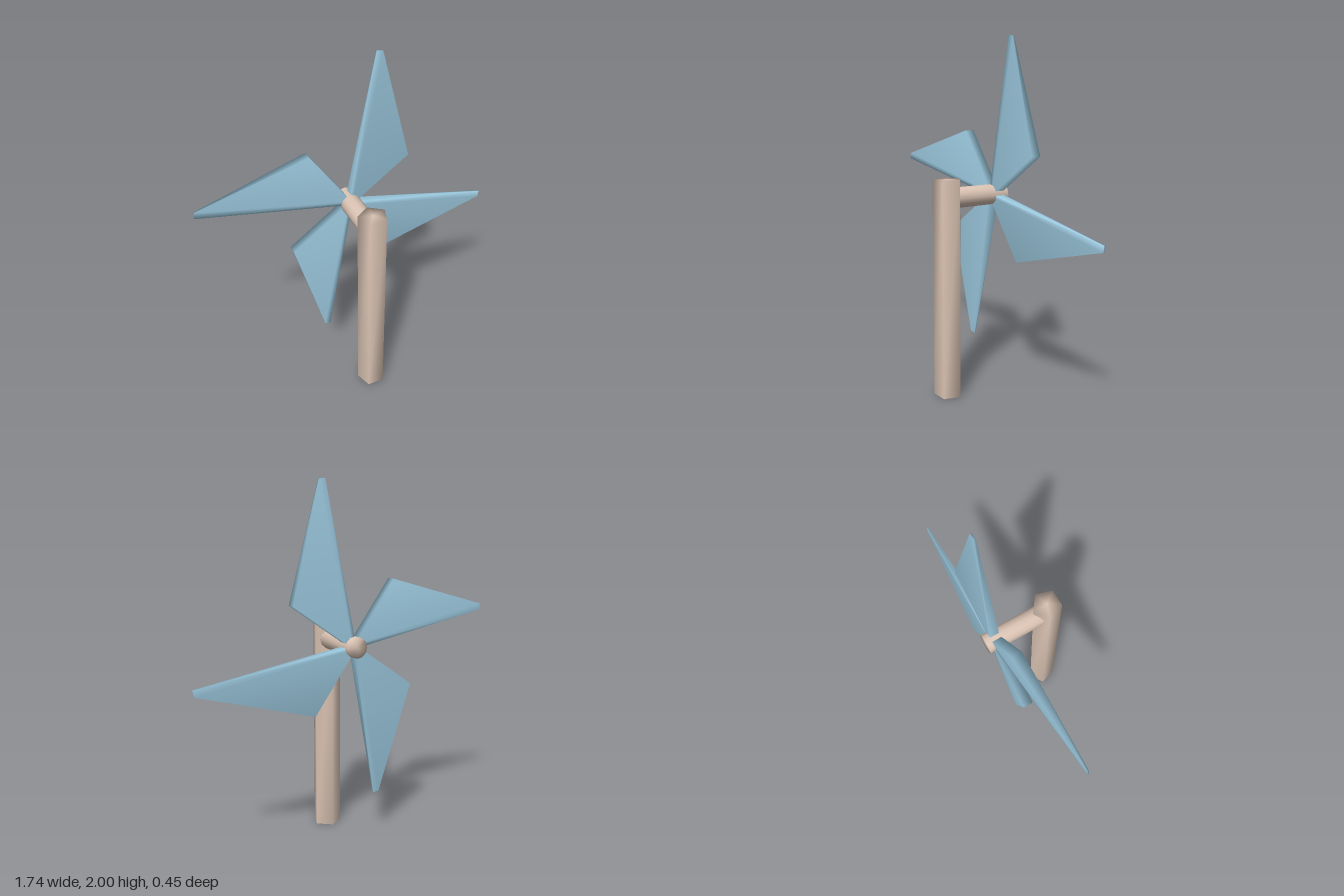
import * as THREE from 'three';
import { mergeVertices } from 'three/addons/utils/BufferGeometryUtils.js';

const HUB_Y = 1.13;

// Weld all corners so the shading runs smoothly over every edge
function softened(geometry) {
  geometry.deleteAttribute('normal');
  geometry.deleteAttribute('uv');
  const welded = mergeVertices(geometry, 1e-4);
  welded.computeVertexNormals();
  return welded;
}

// Tapered wedge: flat front face, back swelling from the tip towards the hub
function bladeGeometry() {
  const outline = [ // x, y, back z; counterclockwise from the hub
    [0.012, -0.006, -0.195],
    [0.355, 0.235, -0.195],
    [0.185, 0.865, -0.148],
    [0.15, 0.87, -0.148],
    [-0.006, 0.012, -0.195],
  ];
  const n = outline.length;
  const positions = [];
  outline.forEach(([x, y]) => positions.push(x, y, -0.138));
  outline.forEach(([x, y, z]) => positions.push(x, y, z));
  const index = [];
  for (let i = 1; i < n - 1; i++) {
    index.push(0, i, i + 1, n, n + i + 1, n + i);
  }
  for (let i = 0; i < n; i++) {
    const j = (i + 1) % n;
    index.push(i, n + i, n + j, i, n + j, j);
  }
  const geometry = new THREE.BufferGeometry();
  geometry.setAttribute('position', new THREE.Float32BufferAttribute(positions, 3));
  geometry.setIndex(index);
  geometry.computeVertexNormals();
  return geometry;
}

export function createModel() {
  const model = new THREE.Group();
  model.name = 'windmill';
  const wood = new THREE.MeshStandardMaterial({ name: 'paleWood', color: 0xdcc5b5 });
  const blue = new THREE.MeshStandardMaterial({ name: 'bladeBlue', color: 0x9cc9df });

  // Five-sided post with one edge facing the blades
  const post = new THREE.Mesh(
    softened(new THREE.CylinderGeometry(0.083, 0.083, 1.235, 5, 1, false, Math.PI)), wood);
  post.name = 'post';
  post.position.set(0, 0.6175, 0.155);
  model.add(post);

  // Axle running back from the post through the hub
  const axleGeometry = new THREE.CylinderGeometry(0.058, 0.058, 0.375, 12);
  axleGeometry.rotateX(Math.PI / 2);
  const axle = new THREE.Mesh(softened(axleGeometry), wood);
  axle.name = 'axle';
  axle.position.set(0, HUB_Y, -0.0375);
  model.add(axle);

  // Four blades around the axle
  const rotor = new THREE.Group();
  rotor.name = 'rotor';
  rotor.position.y = HUB_Y;
  const geometry = bladeGeometry();
  for (let i = 0; i < 4; i++) {
    const blade = new THREE.Mesh(geometry, blue);
    blade.name = `blade${i + 1}`;
    blade.rotation.z = i * Math.PI / 2;
    rotor.add(blade);
  }
  model.add(rotor);
  return model;
}
